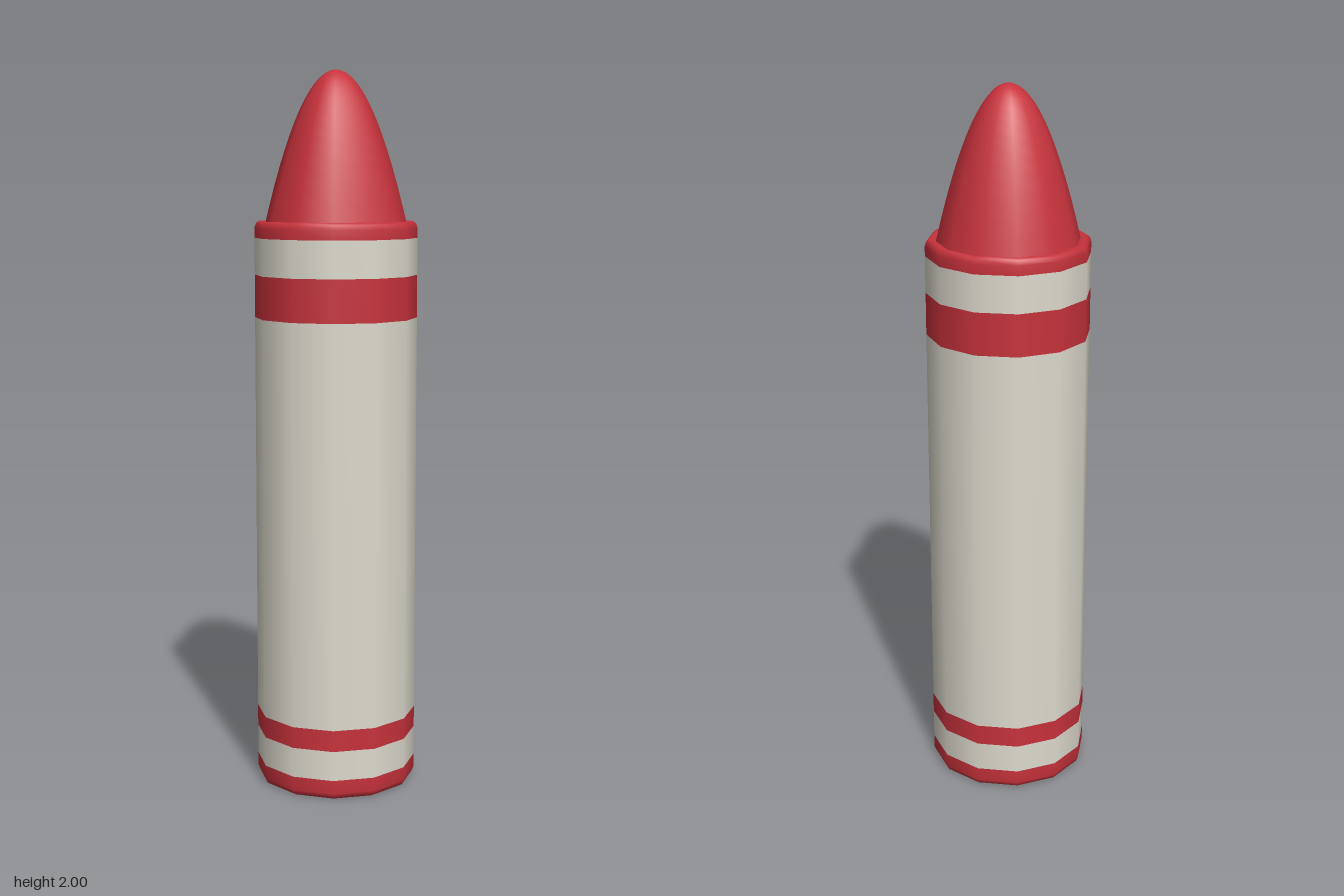
import * as THREE from 'three';

const SIDES = 12;
const K = 1 / Math.cos(Math.PI / SIDES); // flat-to-flat size -> corner radius

export function createModel() {
  const group = new THREE.Group();
  const red = new THREE.MeshStandardMaterial({ color: 0xc8323c });
  red.name = 'wax red';
  const cream = new THREE.MeshStandardMaterial({ color: 0xdedbce });
  cream.name = 'paper cream';

  // Twelve-sided turned part; profile runs upward as [half width, y]
  function turned(name, material, profile) {
    const points = profile.map(([r, y]) => new THREE.Vector2(r * K, y));
    const geometry = new THREE.LatheGeometry(points, SIDES, Math.PI / SIDES);
    const mesh = new THREE.Mesh(geometry, material);
    mesh.name = name;
    group.add(mesh);
  }

  const R = 0.218;

  // Wax base: flat underside and a small rounded edge
  turned('baseUnderside', red, [[0, 0], [0.205, 0]]);
  turned('baseEdge', red, [[0.205, 0], [0.213, 0.005], [R, 0.018], [R, 0.056]]);

  // Paper wrapper with printed bands, stacked from bottom to top
  const bands = [
    ['wrapperBottom', cream, 0.056, 0.14],
    ['lowerStripe', red, 0.14, 0.2],
    ['wrapperMiddle', cream, 0.2, 1.325],
    ['upperStripe', red, 1.325, 1.443],
    ['wrapperTop', cream, 1.443, 1.545],
  ];
  for (const [name, material, y0, y1] of bands) {
    turned(name, material, [[R, y0], [R, y1]]);
  }

  // Wax shoulder with a rounded rim and a ledge around the tip
  turned('shoulder', red, [[R, 1.545], [R, 1.572], [0.214, 1.585], [0.206, 1.591], [0.19, 1.586]]);

  // Rounded tip, a parabola closing at the top
  const tip = [];
  for (let i = 0; i <= 14; i++) {
    const s = 1 - i / 14;
    tip.push([0.19 * s, 2 - 0.42 * s * s]);
  }
  turned('tip', red, tip);

  return group;
}
